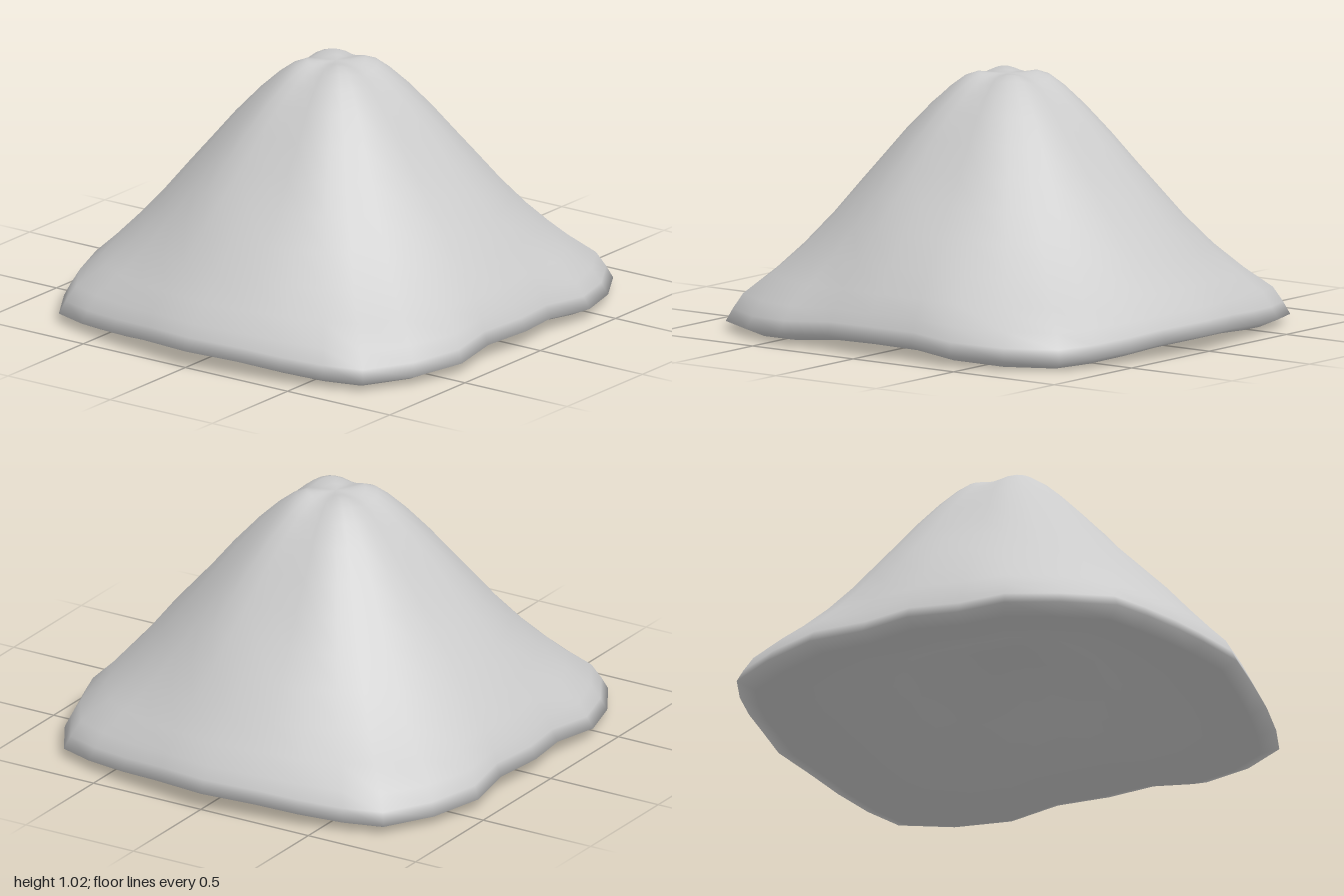
import * as THREE from 'three';

// One quarter of the wavy rim, from the left side (+x) round to the front (+z)
const QUARTER = [[1, 0], [0.965, 0.23], [0.935, 0.41], [0.89, 0.59], [0.83, 0.745],
  [0.64, 0.86], [0.425, 0.93], [0.21, 0.9], [0, 0.93]];
const SEGMENTS = 32;

// Rings from the peak, over the rim and back in under the shell:
// [spread, height, how much of the rim outline, lift at the corners, pinch on the axes]
const RINGS = [
  [0, 1.013, 0, 0, 0],
  [0.06, 1.012, 0, 0.004, 0],
  [0.12, 1.005, 0, 0.018, 0.04],
  [0.17, 0.985, 0, 0.022, 0.08],
  [0.23, 0.95, 0, 0.012, 0.09],
  [0.31, 0.887, 0, 0, 0.09],
  [0.415, 0.785, 0, -0.01, 0.08],
  [0.51, 0.675, 0, -0.01, 0.06],
  [0.605, 0.565, 0.03, -0.01, 0.03],
  [0.7, 0.45, 0.1, -0.01, 0],
  [0.8, 0.335, 0.25, -0.01, 0],
  [0.885, 0.24, 0.55, -0.015, 0],
  [0.95, 0.17, 0.9, -0.025, 0],
  [0.975, 0.12, 1, -0.035, 0],
  [1, 0.07, 1, -0.035, 0],
  [0.93, 0.045, 1, -0.042, 0],
  [0.88, 0.05, 1, -0.035, 0],
  [0.75, 0.065, 1, -0.025, 0],
  [0.6, 0.1, 0.9, -0.01, 0],
  [0.4, 0.185, 0.7, 0, 0],
  [0.2, 0.265, 0.5, 0, 0],
  [0, 0.3, 0, 0, 0],
];

// Mirror the quarter into a full rim point
function rimPoint(j) {
  const q = j % 16;
  const [x, z] = QUARTER[q <= 8 ? q : 16 - q];
  return [j > 8 && j < 24 ? -x : x, j > 16 ? -z : z];
}

function shellGeometry() {
  const positions = [];
  const starts = [];
  for (const [spread, height, outline, lift, pinch] of RINGS) {
    starts.push(positions.length / 3);
    if (spread === 0) {
      positions.push(0, height, 0);
      continue;
    }
    for (let j = 0; j < SEGMENTS; j++) {
      const [x, z] = rimPoint(j);
      const angle = Math.atan2(z, x);
      const corner = Math.sin(2 * angle) ** 2;
      // Four shallow grooves run down from the peak along the axes
      const groove = 1 - pinch * Math.max(0, Math.cos(4 * angle));
      const round = (1 - outline) * groove;
      positions.push(
        spread * (outline * x + round * 0.99 * Math.cos(angle)),
        height + lift * corner,
        spread * (outline * z + round * 0.965 * Math.sin(angle)));
    }
  }

  const index = [];
  const at = (i, j) => starts[i] + (RINGS[i][0] === 0 ? 0 : j % SEGMENTS);
  for (let i = 0; i < RINGS.length - 1; i++) {
    for (let j = 0; j < SEGMENTS; j++) {
      const a = at(i, j), b = at(i, j + 1), c = at(i + 1, j), d = at(i + 1, j + 1);
      if (a !== b) index.push(a, b, c);
      if (c !== d) index.push(b, d, c);
    }
  }
  const geometry = new THREE.BufferGeometry();
  geometry.setAttribute('position', new THREE.Float32BufferAttribute(positions, 3));
  geometry.setIndex(index);
  geometry.computeVertexNormals();
  return geometry;
}

export function createModel() {
  const group = new THREE.Group();
  group.name = 'limpetShell';
  const shell = new THREE.Mesh(shellGeometry(), new THREE.MeshStandardMaterial({ color: 0xcccccc }));
  shell.name = 'shell';
  group.add(shell);
  return group;
}
